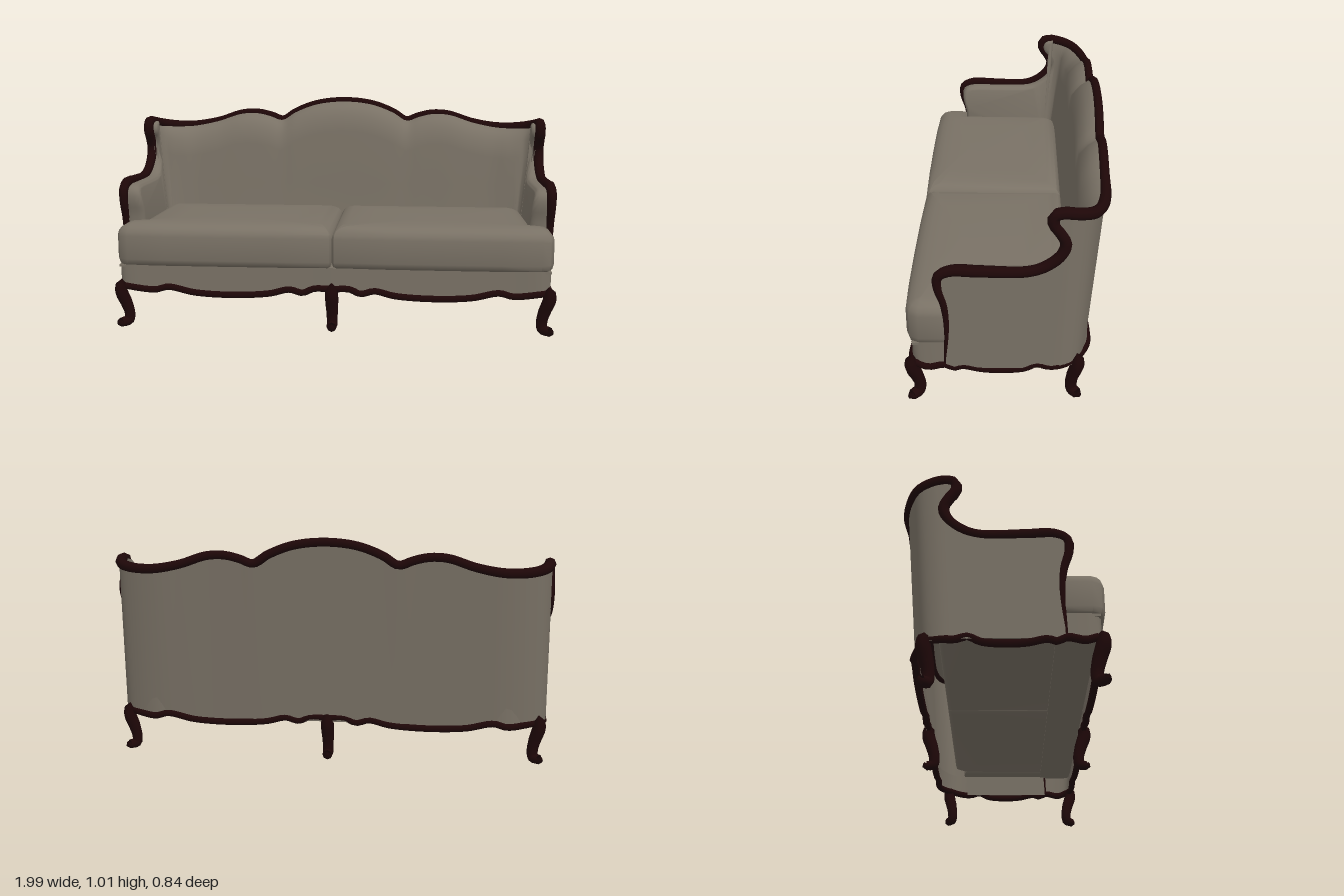
import * as THREE from 'three';
import { toCreasedNormals } from 'three/addons/utils/BufferGeometryUtils.js';

const V = (x, y, z) => new THREE.Vector3(x, y, z);
const smoothCurve = (pts, closed = false) => new THREE.CatmullRomCurve3(pts, closed, 'centripetal');
const mirrorX = (pts) => pts.map((p) => V(-p.x, p.y, p.z)).reverse();
const { lerp, smoothstep } = THREE.MathUtils;

// Surface through equally long rows of points
function loft(rows) {
  const n = rows[0].length, index = [];
  for (let i = 0; i < rows.length - 1; i++)
    for (let j = 0; j < n - 1; j++) {
      const a = i * n + j, b = a + n;
      index.push(a, b, a + 1, b, b + 1, a + 1);
    }
  const g = new THREE.BufferGeometry().setFromPoints(rows.flat());
  g.setIndex(index);
  g.computeVertexNormals();
  return g;
}

// Tube whose radius runs through a list of values from start to end
function taperedTube(path, radii, segments, sides) {
  const g = new THREE.TubeGeometry(path, segments, 1, sides, false);
  const pos = g.attributes.position, v = new THREE.Vector3();
  for (let i = 0; i <= segments; i++) {
    const c = path.getPointAt(i / segments);
    const t = (i / segments) * (radii.length - 1), k = Math.min(Math.floor(t), radii.length - 2);
    const r = lerp(radii[k], radii[k + 1], t - k);
    for (let j = 0; j <= sides; j++) {
      const id = i * (sides + 1) + j;
      v.fromBufferAttribute(pos, id).sub(c).multiplyScalar(r).add(c);
      pos.setXYZ(id, v.x, v.y, v.z);
    }
  }
  return g;
}

// Cushion: a closed plan outline stacked in rings, each inset by some amount
function cushionGeometry(plan, side) {
  const n = plan.length;
  const ring = (inset, y, shrink) => Array.from({ length: n + 1 }, (_, i) => {
    const [x, z] = plan[i % n], a = plan[(i + n - 1) % n], b = plan[(i + 1) % n];
    const la = Math.hypot(x - a[0], z - a[1]), lb = Math.hypot(b[0] - x, b[1] - z);
    const nx = (z - a[1]) / la + (b[1] - z) / lb, nz = -(x - a[0]) / la - (b[0] - x) / lb;
    const k = (inset * 2) / (nx * nx + nz * nz);
    return V(side * lerp(0.45, x + nx * k, shrink), y, lerp(0.2, z + nz * k, shrink));
  });
  const rings = [[0.02, 0.29, 0], [0.02, 0.29, 1], [0.006, 0.298, 1], [0, 0.32, 1], [0, 0.425, 1],
    [0.005, 0.443, 1], [0.018, 0.46, 1], [0.04, 0.473, 1], [0.065, 0.48, 1], [0.065, 0.485, 0.7], [0.065, 0.487, 0]];
  const rows = rings.map((r) => ring(...r));
  return toCreasedNormals(loft(side > 0 ? rows : rows.map((r) => r.reverse())), 0.8);
}

export function createModel() {
  const sofa = new THREE.Group();
  sofa.name = 'sofa';
  const fabric = new THREE.MeshStandardMaterial({ color: 0x797165, side: THREE.DoubleSide });
  fabric.name = 'taupe fabric';
  const wood = new THREE.MeshStandardMaterial({ color: 0x1e0708 });
  wood.name = 'dark wood';
  const add = (name, geometry, material) => {
    const m = new THREE.Mesh(geometry, material);
    m.name = name;
    sofa.add(m);
  };

  // Arm outline in (z, y), from the bottom front up to the wing
  const armOutline = [
    [0.245, 0.19], [0.236, 0.36], [0.243, 0.48], [0.265, 0.56], [0.262, 0.615], [0.215, 0.64],
    [0.1, 0.638], [-0.08, 0.638], [-0.15, 0.662], [-0.21, 0.715], [-0.226, 0.765], [-0.205, 0.81],
    [-0.178, 0.85], [-0.182, 0.885], [-0.215, 0.896]];
  // The same line drawn in for the arm pad
  const padOutline = [
    [0.225, 0.3], [0.23, 0.48], [0.246, 0.56], [0.24, 0.602], [0.2, 0.617], [0.1, 0.617], [-0.08, 0.617],
    [-0.16, 0.64], [-0.228, 0.7], [-0.246, 0.765], [-0.226, 0.82], [-0.204, 0.848], [-0.206, 0.868], [-0.22, 0.875]];
  // Top of the back in (x, y, z), from the wing to the middle
  const backTop = [
    V(0.965, 0.89, -0.265), V(0.935, 0.877, -0.325), V(0.87, 0.866, -0.362), V(0.77, 0.866, -0.385),
    V(0.65, 0.888, -0.39), V(0.53, 0.926, -0.392), V(0.45, 0.93, -0.394), V(0.38, 0.915, -0.395),
    V(0.318, 0.895, -0.396), V(0.25, 0.935, -0.397), V(0.14, 0.976, -0.399)];
  const crest = V(0, 0.991, -0.4), wing = V(0.97, 0.896, -0.215);

  // Carved rail over the arms and the back
  const halfRail = [...armOutline.map(([z, y]) => V(0.97, y, z)), ...backTop];
  const rail = smoothCurve([...halfRail, crest, ...mirrorX(halfRail)]);
  add('topRail', taperedTube(rail, [0.009, 0.016, 0.025, 0.022, 0.025, 0.024, 0.02, 0.02, 0.02,
    0.02, 0.02, 0.02, 0.024, 0.025, 0.022, 0.025, 0.016, 0.009], 220, 8), wood);

  // Padded back shell that wraps round the corners, thinner at the wings
  const halfBack = [wing, ...backTop];
  const tops = smoothCurve([...halfBack, crest, ...mirrorX(halfBack)]).getSpacedPoints(110);
  const columns = tops.map((p, i) => {
    const a = tops[Math.max(i - 1, 0)], b = tops[Math.min(i + 1, tops.length - 1)];
    const inward = V(b.z - a.z, 0, a.x - b.x).normalize();
    const f = lerp(0.4, 1, smoothstep(Math.min(i, 110 - i), 0, 13));
    const at = (y, d) => {
      const lean = lerp(0.86, 1, (y - 0.18) / (p.y - 0.18));
      return V(p.x * 1.01, y, p.z * lean).addScaledVector(inward, d);
    };
    return [at(0.18, 0), at(0.5, 0), at(p.y, 0), at(p.y, 0.015), at(p.y - 0.025, 0.05 * f),
      at(p.y - 0.07, 0.085 * f), at(p.y - 0.15, 0.092 * f), at(0.58, 0.095 * lerp(0.6, 1, f)), at(0.3, 0.11)];
  });
  add('backShell', toCreasedNormals(loft(columns), 0.8), fabric);

  // Arms: a flat outer panel and a softer inner pad that thins towards the wing
  const armShape = (line, low) => new THREE.Shape([
    ...new THREE.SplineCurve(line.map(([z, y]) => new THREE.Vector2(-z, y))).getPoints(48)
      .filter((p) => p.y > low + 0.015),
    new THREE.Vector2(0.187, low), new THREE.Vector2(-line[0][0], low)]);
  for (const side of [1, -1]) {
    const panel = new THREE.ExtrudeGeometry(armShape(armOutline, 0.18), { depth: 0.03, bevelEnabled: false });
    panel.rotateY(Math.PI / 2).translate(side > 0 ? 0.95 : -0.98, 0, 0);
    add(side > 0 ? 'leftArmPanel' : 'rightArmPanel', panel, fabric);
    const pad = new THREE.ExtrudeGeometry(armShape(padOutline, 0.3), {
      depth: 0.02, bevelSize: 0.018, bevelThickness: 0.035, bevelSegments: 5 });
    pad.rotateY(Math.PI / 2).translate(side > 0 ? 0.915 : -0.935, 0, 0);
    const pos = pad.attributes.position;
    for (let i = 0; i < pos.count; i++) {
      const k = lerp(1, 0.45, smoothstep(pos.getY(i), 0.5, 0.76));
      pos.setX(i, side * lerp(0.965, Math.abs(pos.getX(i)), k));
    }
    add(side > 0 ? 'leftArmPad' : 'rightArmPad', toCreasedNormals(pad, 0.7), fabric);
  }

  // Two T-shaped seat cushions, outline in (x, z)
  const plan = [[0, -0.25], [0, 0.385], [0.01, 0.4], [0.25, 0.406], [0.5, 0.408], [0.75, 0.407],
    [0.92, 0.402], [0.958, 0.388], [0.976, 0.35], [0.976, 0.236], [0.9, 0.23], [0.893, -0.2], [0.85, -0.25]];
  add('leftCushion', cushionGeometry(plan, 1), fabric);
  add('rightCushion', cushionGeometry(plan, -1), fabric);

  // Wavy wooden trim round the base, with a fabric apron above it
  const wave = [[0.08, 0.198], [0.13, 0.178], [0.19, 0.192], [0.28, 0.172], [0.45, 0.162],
    [0.62, 0.17], [0.74, 0.194], [0.8, 0.18]];
  const sideWave = [[0.32, 0.178], [0.25, 0.19], [0.21, 0.174], [0.18, 0.184], [0.1, 0.168], [0.02, 0.164],
    [-0.07, 0.172], [-0.12, 0.194], [-0.17, 0.182]];
  const halfTrim = [
    ...wave.map(([x, y]) => V(x, y, 0.385)), V(0.92, 0.192, 0.384), V(0.958, 0.195, 0.37),
    ...sideWave.map(([z, y]) => V(0.969, y, z)), V(0.965, 0.185, -0.22), V(0.935, 0.192, -0.275),
    V(0.875, 0.186, -0.312), ...wave.slice().reverse().map(([x, y]) => V(x, y, -0.335))];
  const trim = smoothCurve([V(0, 0.198, 0.387), ...halfTrim, V(0, 0.198, -0.337), ...mirrorX(halfTrim)], true);
  add('baseTrim', new THREE.TubeGeometry(trim, 260, 0.016, 6, true), wood);
  add('apron', loft(trim.getSpacedPoints(220).map((p) => [p, V(p.x, 0.292, p.z)])), fabric);
  add('frontSeatRail', new THREE.BoxGeometry(1.93, 0.01, 0.16).translate(0, 0.286, 0.3), fabric);

  // Six scrolled legs: [x, z, outward x, outward z]
  const legPath = [[0, 0.225], [0.004, 0.17], [-0.015, 0.11], [-0.026, 0.06], [-0.022, 0.028],
    [-0.002, 0.024], [0.014, 0.024], [0.018, 0.04]];
  const legs = {
    frontLeftLeg: [0.955, 0.382, 0.9, 0.9], frontRightLeg: [-0.955, 0.382, -0.9, 0.9], frontMiddleLeg: [0, 0.385, 0, 1],
    backLeftLeg: [0.94, -0.285, 0.8, -0.7], backRightLeg: [-0.94, -0.285, -0.8, -0.7], backMiddleLeg: [0, -0.332, 0, -1] };
  for (const [name, [x, z, ox, oz]] of Object.entries(legs)) {
    const path = smoothCurve(legPath.map(([o, y]) => V(x + o * ox, y, z + o * oz)));
    add(name, taperedTube(path, [0.001, 0.026, 0.029, 0.03, 0.029, 0.028, 0.026, 0.025, 0.024, 0.024, 0.022, 0.001], 33, 8), wood);
  }
  return sofa;
}
